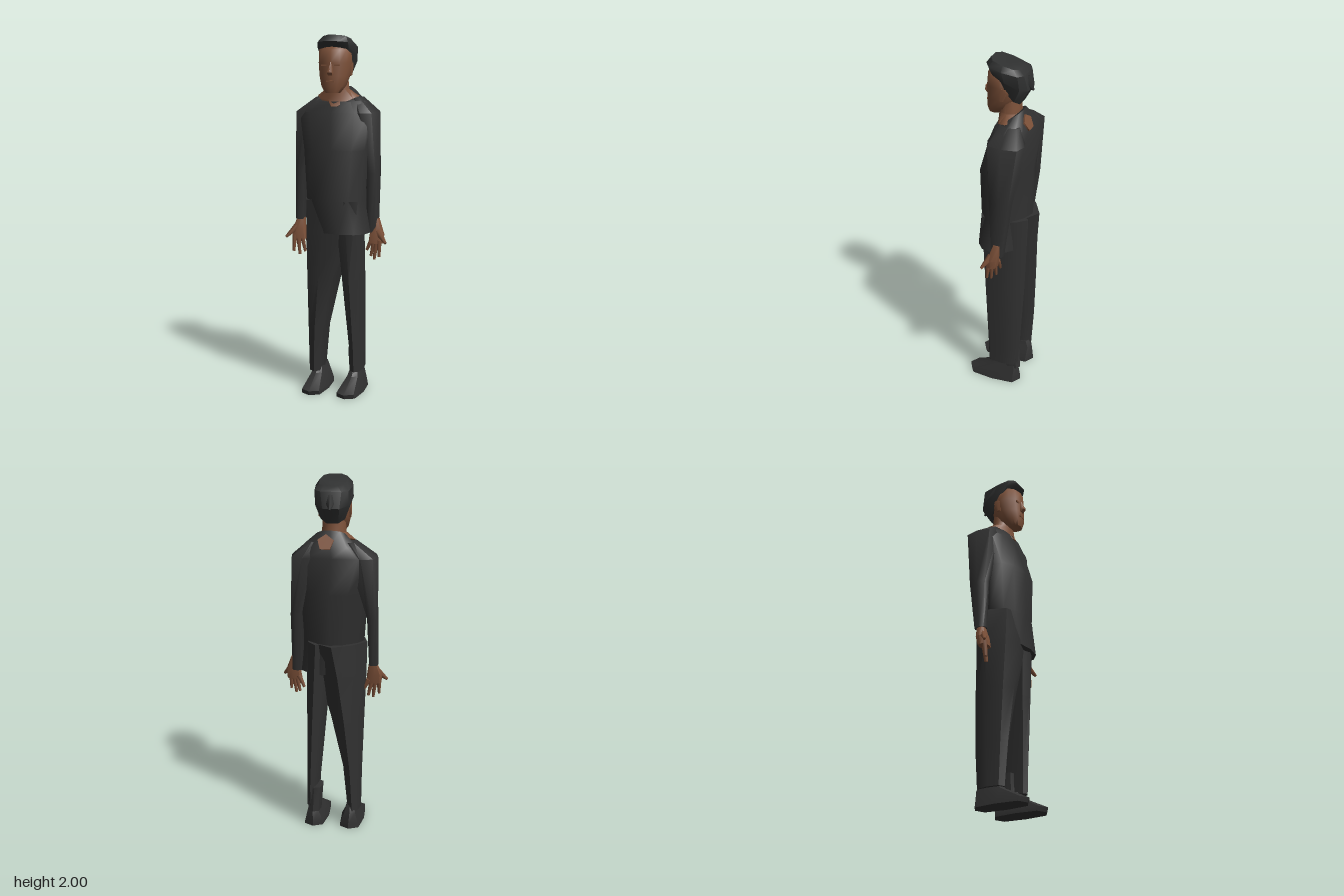
import * as THREE from 'three';
import { toCreasedNormals } from 'three/addons/utils/BufferGeometryUtils.js';

const mat = (name, color) => {
  const m = new THREE.MeshStandardMaterial({ color });
  m.name = name;
  return m;
};

// Closed skin over rings listed bottom to top:
// [xMin, xMax, y, zMin, zMax, rise towards the front, roundness of the back (under 1 boxy, over 1 pointed)]
function loft(rings, sides = 8, square = 0.75, crease = 0.8) {
  const pos = [], index = [];
  const pow = (v, e) => Math.sign(v) * Math.abs(v) ** e;
  for (const [x0, x1, y, z0, z1, tilt = 0, back = square] of rings) {
    for (let j = 0; j < sides; j++) {
      const a = (j / sides) * Math.PI * 2;
      const e = j > sides / 2 ? back : square;
      const c = pow(Math.cos(a), e), s = pow(Math.sin(a), e);
      pos.push((x0 + x1) / 2 + c * (x1 - x0) / 2, y + tilt * s, (z0 + z1) / 2 + s * (z1 - z0) / 2);
    }
  }
  for (let i = 0; i < rings.length - 1; i++) {
    for (let j = 0; j < sides; j++) {
      const a = i * sides + j, b = i * sides + (j + 1) % sides;
      index.push(a, a + sides, b, b, a + sides, b + sides);
    }
  }
  const top = (rings.length - 1) * sides;
  for (let j = 1; j < sides - 1; j++) {
    index.push(0, j, j + 1, top, top + j + 1, top + j);
  }
  const g = new THREE.BufferGeometry();
  g.setAttribute('position', new THREE.Float32BufferAttribute(pos, 3));
  g.setIndex(index);
  return toCreasedNormals(g, crease);
}

// Tapered rod between two points
function rod(from, to, r0, r1) {
  const a = new THREE.Vector3(...from), b = new THREE.Vector3(...to);
  const dir = b.clone().sub(a);
  const g = new THREE.CylinderGeometry(r1, r0, dir.length(), 5);
  g.applyQuaternion(new THREE.Quaternion().setFromUnitVectors(new THREE.Vector3(0, 1, 0), dir.normalize()));
  const mid = a.add(b).multiplyScalar(0.5);
  return g.translate(mid.x, mid.y, mid.z);
}

// Mirror ring rows across x
const mirror = rows => rows.map(([x0, x1, ...rest]) => [-x1, -x0, ...rest]);

export function createModel() {
  const model = new THREE.Group();
  model.name = 'standingMan';
  const cloth = mat('charcoal cloth', 0x313131);
  const hairMat = mat('black hair', 0x2f3030);
  const skin = mat('brown skin', 0x7d5139);

  const add = (name, geo, material, parent = model) => {
    const m = new THREE.Mesh(geo, material);
    m.name = name;
    parent.add(m);
    return m;
  };

  // Loose top with broad sloping shoulders, its collar lower at the front
  add('torso', loft([
    [-0.1, 0.2, 0.92, -0.13, 0.125, 0, 1.2],
    [-0.17, 0.17, 1.1, -0.155, 0.122, 0, 1.3],
    [-0.19, 0.2, 1.38, -0.157, 0.12, 0, 1],
    [-0.235, 0.21, 1.58, -0.157, 0.06, 0, 0.7],
    [-0.155, 0.155, 1.64, -0.14, 0.04],
    [-0.08, 0.09, 1.68, -0.1, 0.028, -0.042],
  ], 12, 0.8, 1), cloth);

  // Sleeves, wide at the shoulder and blending into the torso
  add('rightSleeve', loft([
    [-0.252, -0.2, 0.97, -0.07, 0.0],
    [-0.25, -0.19, 1.25, -0.11, 0.01],
    [-0.247, -0.08, 1.58, -0.145, 0.035],
    [-0.13, -0.075, 1.66, -0.115, 0.0],
  ], 8, 0.65, 1), cloth);
  add('leftSleeve', loft([
    [0.17, 0.233, 0.92, -0.07, 0.005],
    [0.165, 0.232, 1.25, -0.115, 0.02],
    [0.07, 0.222, 1.58, -0.163, 0.045],
    [0.075, 0.13, 1.66, -0.12, 0.0],
  ], 8, 0.65, 1), cloth);

  // Trousers, peaked at the back: the right leg sweeps across the hips, the left one is narrower
  add('rightTrouserLeg', loft([
    [-0.16, -0.08, 0.1, -0.11, 0.055, 0, 1.1],
    [-0.165, -0.055, 0.35, -0.13, 0.07, 0, 1.2],
    [-0.175, 0.015, 0.65, -0.15, 0.09, 0, 1.3],
    [-0.185, 0.095, 0.92, -0.168, 0.11, 0, 1.4],
    [-0.19, 0.16, 1.1, -0.189, 0.118, 0, 1.5],
  ], 8, 0.75), cloth);
  add('leftTrouserLeg', loft([
    [0.09, 0.15, 0.12, -0.12, 0.06, 0, 0.9],
    [0.085, 0.15, 0.25, -0.13, 0.065, 0, 1],
    [0.045, 0.153, 0.66, -0.15, 0.09, 0, 1.2],
    [0.0, 0.155, 1.1, -0.16, 0.112, 0, 1.4],
  ], 8, 0.55), cloth);
  add('leftCuff', loft([
    [0.065, 0.14, 0.09, -0.13, 0.0],
    [0.055, 0.14, 0.235, -0.12, 0.0],
  ]), cloth);

  // Shoes with wide blunt toes
  const shoe = [
    [0.038, 0.17, 0, -0.13, 0.18],
    [0.04, 0.165, 0.025, -0.13, 0.19],
    [0.07, 0.145, 0.09, -0.12, 0.055],
    [0.08, 0.135, 0.13, -0.1, 0.02],
  ];
  add('leftShoe', loft(shoe, 8, 0.6, 0.6), cloth);
  add('rightShoe', loft(mirror(shoe), 8, 0.6, 0.6), cloth);

  // Hands with spread fingers
  const palm = [
    [0.182, 0.268, 0.86, -0.042, 0.016],
    [0.188, 0.272, 0.91, -0.052, 0.012],
    [0.202, 0.238, 0.995, -0.058, -0.016],
  ];
  const tips = [
    [0.293, 0.868, 0.028], [0.252, 0.787, 0.013], [0.22, 0.768, 0],
    [0.195, 0.782, -0.02], [0.167, 0.812, -0.033],
  ];
  for (const [side, s] of [['left', 1], ['right', -1]]) {
    const hand = new THREE.Group();
    hand.name = side + 'Hand';
    model.add(hand);
    add('palm', loft(s > 0 ? palm : mirror(palm)), skin, hand);
    tips.forEach(([x, y, z], i) => {
      const root = i === 0 ? [0.24 * s, 0.925, -0.01] : [(0.267 - i * 0.017) * s, 0.88, 0.016 - i * 0.012];
      add(i === 0 ? 'thumb' : 'finger', rod(root, [x * s, y, z], i === 0 ? 0.022 : 0.015, 0.008), skin, hand);
    });
  }

  // Neck, flaring out under the collar, with bare skin showing at the nape
  add('neck', loft([
    [-0.05, 0.05, 1.615, -0.08, 0.055],
    [-0.122, 0.118, 1.668, -0.112, 0.036, -0.02],
    [-0.07, 0.065, 1.705, -0.085, 0.035],
    [-0.065, 0.06, 1.77, -0.08, 0.04],
  ], 10, 1), skin);
  add('napeSkin', new THREE.CylinderGeometry(0.046, 0.046, 0.009, 5).rotateX(-1.12).translate(0.025, 1.662, -0.132), skin);

  // Head
  add('head', loft([
    [-0.045, 0.04, 1.69, 0.02, 0.095],
    [-0.07, 0.062, 1.725, -0.03, 0.104],
    [-0.086, 0.078, 1.78, -0.07, 0.102],
    [-0.094, 0.088, 1.85, -0.09, 0.1],
    [-0.092, 0.086, 1.92, -0.08, 0.094],
    [-0.045, 0.045, 1.95, -0.04, 0.06],
  ], 12, 0.85, 1.2), skin);
  add('nose', loft([
    [-0.018, 0.014, 1.785, 0.08, 0.11],
    [-0.02, 0.016, 1.8, 0.08, 0.124],
    [-0.008, 0.004, 1.855, 0.08, 0.103],
  ]), skin);
  for (const x of [-0.04, 0.034]) {
    add('eyelid', new THREE.BoxGeometry(0.03, 0.008, 0.008).translate(x, 1.838, 0.095), skin);
  }
  add('lips', new THREE.BoxGeometry(0.045, 0.008, 0.008).translate(-0.003, 1.752, 0.101), skin);
  for (const x of [-0.088, 0.081]) {
    add('ear', loft([
      [x - 0.005, x + 0.005, 1.78, -0.015, 0.005],
      [x - 0.009, x + 0.009, 1.83, -0.035, 0.008],
      [x - 0.008, x + 0.008, 1.85, -0.03, 0.0],
    ], 6), skin);
  }

  // Hair: low at the nape, swept up over the forehead, boxy at the back
  add('hair', loft([
    [-0.08, 0.075, 1.83, -0.09, 0.05, 0.075],
    [-0.108, 0.1, 1.895, -0.14, 0.088, 0.054, 0.7],
    [-0.103, 0.1, 1.948, -0.122, 0.1, 0.018, 0.5],
    [-0.07, 0.08, 1.978, -0.092, 0.075, 0.022, 0.6],
  ], 10, 0.75, 0.7), hairMat);
  add('hairTuft', rod([0, 1.89, -0.1], [0, 1.838, -0.152], 0.04, 0.005), hairMat);

  return model;
}
